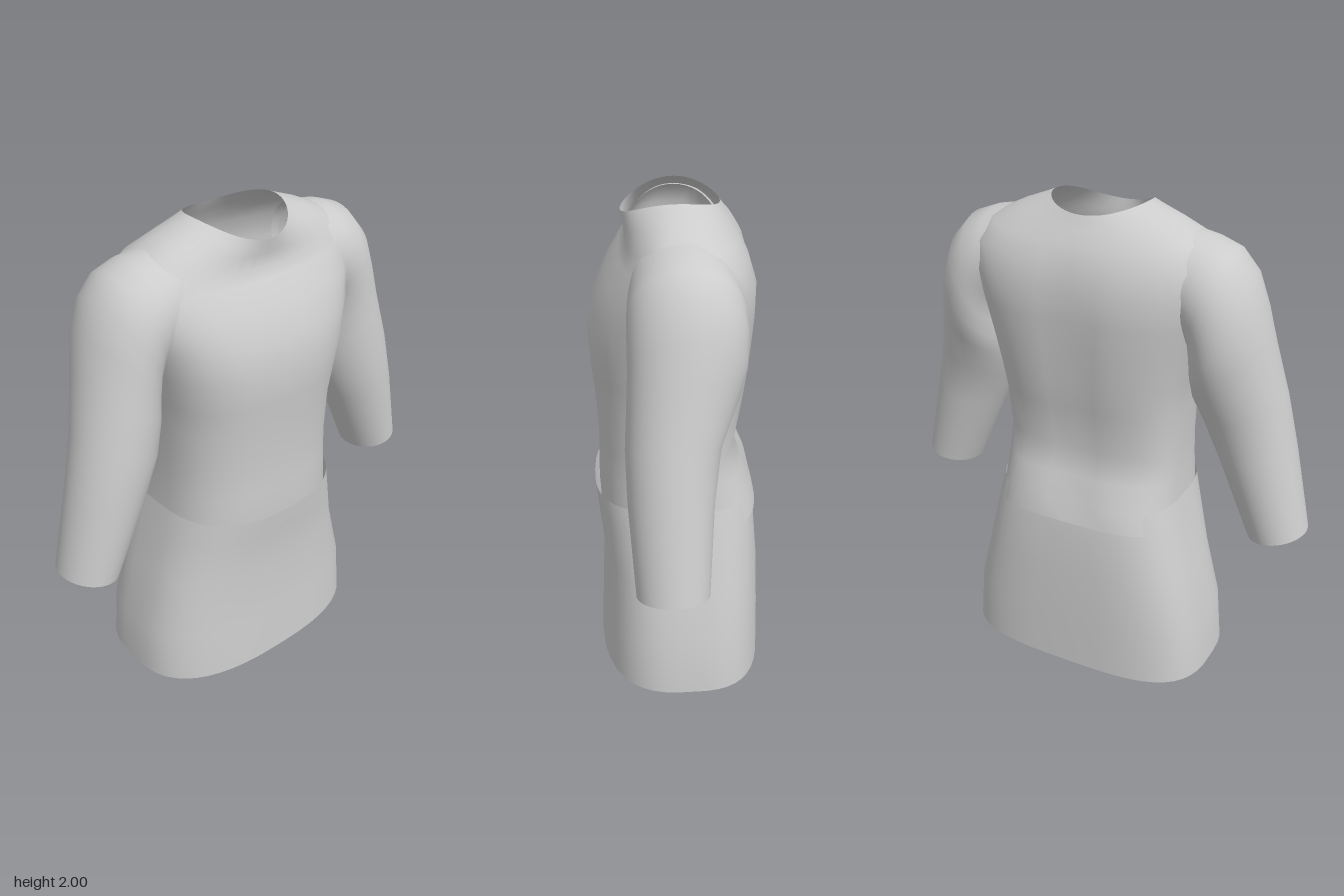
import * as THREE from 'three';

const SIDES = 48;

// Open smooth tube through closed rings of points
function loft(rings) {
  const n = rings[0].length, index = [];
  for (let r = 0; r < rings.length - 1; r++) {
    for (let i = 0; i < n; i++) {
      const a = r * n + i, b = r * n + (i + 1) % n;
      index.push(a, a + n, b, b, a + n, b + n);
    }
  }
  const geometry = new THREE.BufferGeometry().setFromPoints(rings.flat());
  geometry.setIndex(index);
  geometry.computeVertexNormals();
  return geometry;
}

const power = (v, e) => Math.sign(v) * Math.pow(Math.abs(v), e);

// Level body ring; its height may differ at front, sides and back
function bodyRing([yFront, ySide, yBack, w, zFront, zBack, nFront = 2.6, nBack = 3.3, groove = 0]) {
  const ring = [];
  for (let i = 0; i < SIDES; i++) {
    const a = -i / SIDES * Math.PI * 2;
    const c = Math.cos(a), s = Math.sin(a), front = s > 0;
    const e = 2 / (front ? nFront : nBack);
    const x = w * power(c, e);
    let z = Math.pow(Math.abs(s), e) * (front ? zFront : zBack);
    if (!front) z *= 1 - groove * Math.exp(-((x / 0.09) ** 2));
    const y = ySide + ((front ? yFront : yBack) - ySide) * s * s;
    ring.push(new THREE.Vector3(x, y, z));
  }
  return ring;
}

// Tilted sleeve ring between an outer and an inner point
function sleeveRing([xo, yo, xi, yi, zFront, zBack], side) {
  const ring = [];
  for (let i = 0; i < SIDES; i++) {
    const a = side * i / SIDES * Math.PI * 2;
    const t = (1 - Math.cos(a)) / 2;
    const z = (zFront + zBack) / 2 + (zFront - zBack) / 2 * Math.sin(a);
    ring.push(new THREE.Vector3(side * (xo + (xi - xo) * t), yo + (yi - yo) * t, z));
  }
  return ring;
}

// yFront, ySide, yBack, half width, zFront, zBack, roundness, spine groove
const TORSO = [
  [0.70, 0.69, 0.71, 0.405, 0.325, -0.332],
  [0.80, 0.80, 0.80, 0.395, 0.33, -0.315, 2.6, 3, 0.05],
  [0.90, 0.90, 0.90, 0.388, 0.328, -0.272, 2.6, 3, 0.05],
  [1.01, 1.01, 1.01, 0.385, 0.325, -0.235, 2.6, 3, 0.04],
  [1.20, 1.20, 1.20, 0.39, 0.335, -0.268, 2.6, 3, 0.06],
  [1.32, 1.32, 1.32, 0.41, 0.348, -0.283, 2.6, 3, 0.07],
  [1.45, 1.45, 1.45, 0.44, 0.356, -0.294, 2.6, 3, 0.07],
  [1.58, 1.58, 1.58, 0.475, 0.335, -0.302, 2.6, 3, 0.06],
  [1.70, 1.70, 1.70, 0.515, 0.28, -0.302, 2.6, 2.9, 0.05],
  [1.78, 1.81, 1.80, 0.53, 0.225, -0.27, 2.5, 2.7, 0.03],
  [1.82, 1.89, 1.86, 0.46, 0.20, -0.235, 2.4, 2.5],
  [1.87, 1.95, 1.91, 0.33, 0.205, -0.20, 2.2, 2.2],
  [1.90, 1.98, 1.94, 0.25, 0.21, -0.18, 2.1, 2.1],
  [1.93, 2.00, 1.96, 0.20, 0.215, -0.168, 2, 2],
];

const SKIRT = [
  [0, 0, 0, 0.56, 0.34, -0.355],
  [0.23, 0.23, 0.23, 0.54, 0.33, -0.35],
  [0.48, 0.48, 0.48, 0.475, 0.318, -0.342],
  [0.68, 0.68, 0.68, 0.427, 0.34, -0.325],
  [0.78, 0.80, 0.77, 0.40, 0.35, -0.305],
];

// outer x, y, inner x, y, zFront, zBack
const SLEEVE = [
  [0.36, 1.925, 0.40, 1.52, 0.19, -0.20],
  [0.47, 1.905, 0.41, 1.50, 0.195, -0.22],
  [0.56, 1.872, 0.42, 1.47, 0.20, -0.23],
  [0.635, 1.79, 0.42, 1.42, 0.20, -0.235],
  [0.685, 1.66, 0.42, 1.35, 0.20, -0.23],
  [0.72, 1.52, 0.425, 1.27, 0.205, -0.20],
  [0.78, 1.29, 0.46, 1.15, 0.215, -0.135],
  [0.835, 1.06, 0.525, 1.0, 0.21, -0.11],
  [0.91, 0.72, 0.67, 0.67, 0.185, -0.09],
];

export function createModel() {
  const group = new THREE.Group();
  group.name = 'tunic';
  const cloth = new THREE.MeshStandardMaterial({ color: 0xcccccc, side: THREE.DoubleSide });
  cloth.name = 'grey cloth';

  const add = (name, rings) => {
    const mesh = new THREE.Mesh(loft(rings), cloth);
    mesh.name = name;
    group.add(mesh);
  };

  // Shirt body with open neck, tucked into the flared skirt
  add('torso', TORSO.map(bodyRing));
  add('skirt', SKIRT.map(bodyRing));

  // Mirrored sleeves
  for (const side of [1, -1]) {
    add(side > 0 ? 'leftSleeve' : 'rightSleeve', SLEEVE.map(row => sleeveRing(row, side)));
  }
  return group;
}
